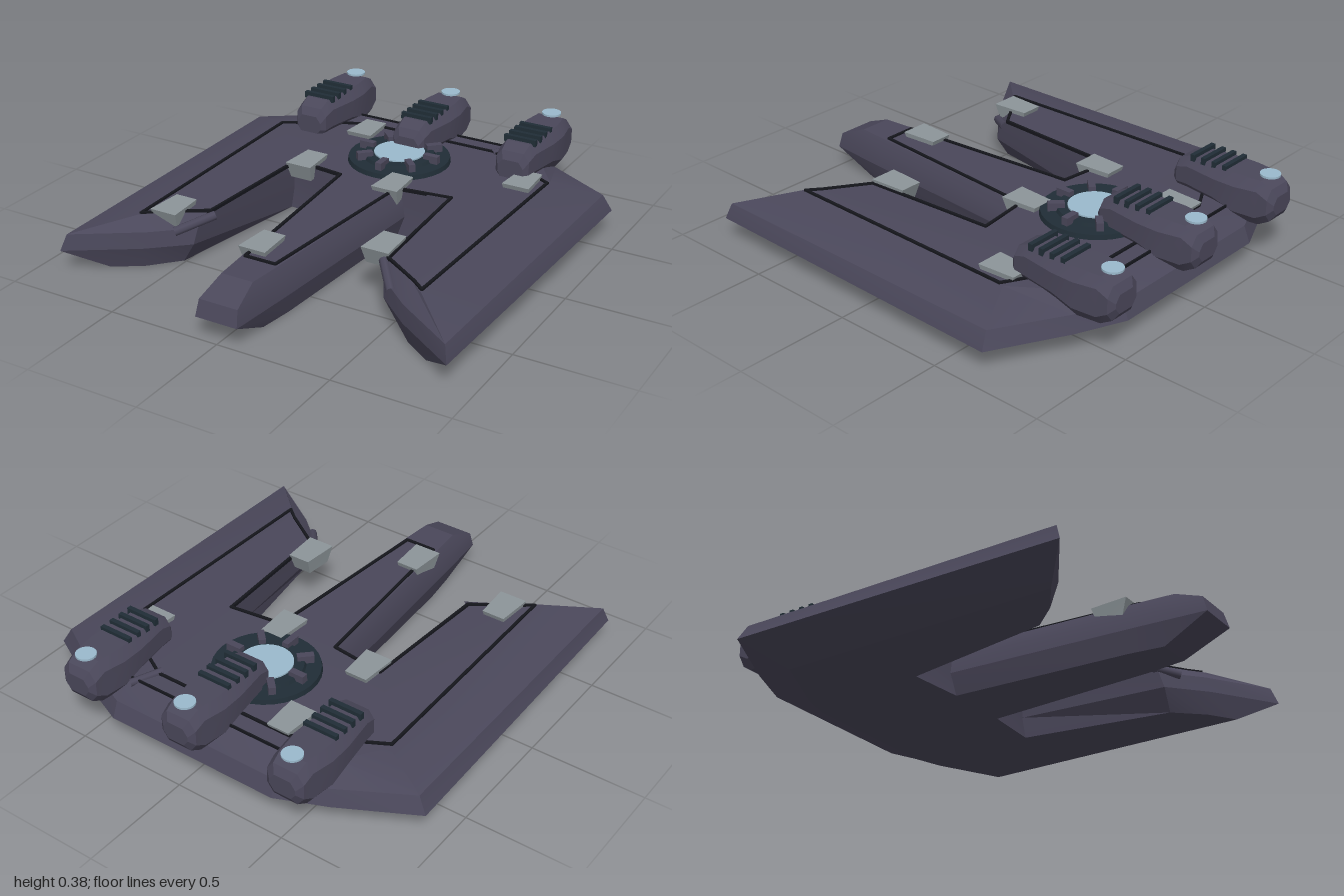
import * as THREE from 'three';
import { toCreasedNormals } from 'three/addons/utils/BufferGeometryUtils.js';

const mat = (name, color) => {
  const m = new THREE.MeshStandardMaterial({ color });
  m.name = name;
  return m;
};

// Skin a stack of matching rings and cap both ends; project gives the 2D cap plane.
function loft(rings, project) {
  const n = rings[0].length, pos = rings.flat(2), idx = [];
  for (let k = 0; k < rings.length - 1; k++) {
    for (let i = 0; i < n; i++) {
      const a = k * n + i, b = k * n + (i + 1) % n, c = b + n, d = a + n;
      idx.push(a, d, c, a, c, b);
    }
  }
  const last = (rings.length - 1) * n;
  const cap = r => THREE.ShapeUtils.triangulateShape(r.map(p => new THREE.Vector2(...project(p))), []);
  cap(rings[0]).forEach(([a, b, c]) => idx.push(a, b, c));
  cap(rings[rings.length - 1]).forEach(([a, b, c]) => idx.push(last + a, last + c, last + b));
  const g = new THREE.BufferGeometry();
  g.setAttribute('position', new THREE.Float32BufferAttribute(pos, 3));
  g.setIndex(idx);
  return toCreasedNormals(g, 0.35);
}

export function createModel() {
  const model = new THREE.Group();
  model.name = 'ship';
  const hullMat = mat('hull purple grey', 0x4a475a);
  const seamMat = mat('seam black', 0x15161c);
  const ringMat = mat('dark teal', 0x202d36);
  const glassMat = mat('pale blue', 0x9ab9cc);
  const padMat = mat('pad grey', 0x8c9599);

  const add = (name, geo, material, x = 0, y = 0, z = 0, parent = model) => {
    const m = new THREE.Mesh(geo, material);
    m.name = name;
    m.position.set(x, y, z);
    parent.add(m);
    return m;
  };

  // Three-pronged hull: half outlines [x, z] at four heights, mirrored
  const levels = [
    [0, [[0.33, -0.73], [0.46, -0.69], [0.74, -0.55], [0.74, 0.70], [0.62, 0.62], [0.51, 0.50],
      [0.40, -0.17], [0.15, -0.15], [0.10, 0.65], [0.08, 0.80]]],
    [0.095, [[0.40, -0.93], [0.61, -0.84], [0.925, -0.67], [0.89, 0.835], [0.61, 0.65], [0.45, 0.51],
      [0.39, -0.18], [0.18, -0.16], [0.12, 0.70], [0.095, 1.0]]],
    [0.165, [[0.40, -0.90], [0.595, -0.82], [0.885, -0.655], [0.87, 0.81], [0.60, 0.63], [0.44, 0.49],
      [0.39, -0.18], [0.17, -0.16], [0.11, 0.70], [0.088, 0.98]]],
    [0.219, [[0.40, -0.80], [0.56, -0.72], [0.68, -0.55], [0.66, 0.60], [0.60, 0.55], [0.43, 0.43],
      [0.39, -0.18], [0.145, -0.16], [0.085, 0.70], [0.072, 0.85]]],
  ];
  const hullRings = levels.map(([y, half]) => [
    ...half.map(([x, z]) => [x, y, z]),
    ...half.slice().reverse().map(([x, z]) => [-x, y, z]),
  ]);
  add('hull', loft(hullRings, p => [p[0], p[2]]), hullMat);

  // Dark seams around the deck panel
  const strip = (a, b, width = 0.012) => {
    const dx = b[0] - a[0], dz = b[1] - a[1];
    const s = add('deckSeam', new THREE.BoxGeometry(width, 0.014, Math.hypot(dx, dz) + width * 0.6),
      seamMat, (a[0] + b[0]) / 2, 0.22, (a[1] + b[1]) / 2);
    s.rotation.y = Math.atan2(dx, dz);
  };
  const seam = [[0.33, -0.72], [0.675, -0.53], [0.655, 0.585], [0.60, 0.54], [0.42, 0.42],
    [0.385, -0.19], [0.14, -0.16], [0.07, 0.69]];
  for (const s of [-1, 1]) {
    for (let i = 0; i < seam.length - 1; i++) {
      strip([s * seam[i][0], seam[i][1]], [s * seam[i + 1][0], seam[i + 1][1]]);
    }
  }
  strip([-0.33, -0.72], [0.33, -0.72]);
  strip([-0.07, 0.69], [0.07, 0.69]);
  strip([-0.40, -0.803], [0.40, -0.803], 0.007);

  // Small pipes at the stern and inside the wing tips
  const pipe = (a, b, r) => {
    const curve = new THREE.LineCurve3(new THREE.Vector3(...a), new THREE.Vector3(...b));
    add('pipe', new THREE.TubeGeometry(curve, 1, r, 8), hullMat);
  };
  pipe([0.33, 0.222, -0.70], [0.39, 0.215, -0.83], 0.016);
  for (const s of [-1, 1]) pipe([s * 0.40, 0.205, 0.42], [s * 0.51, 0.16, 0.56], 0.02);

  // Engine pods: [z, half width, bottom, top, corner]
  const sections = [
    [-1.0, 0.06, 0.22, 0.30, 0.03], [-0.98, 0.085, 0.19, 0.335, 0.04], [-0.93, 0.09, 0.162, 0.36, 0.04],
    [-0.83, 0.106, 0.162, 0.362, 0.045], [-0.73, 0.104, 0.19, 0.362, 0.045],
    [-0.58, 0.085, 0.2, 0.36, 0.04], [-0.525, 0.078, 0.2, 0.335, 0.035], [-0.503, 0.06, 0.21, 0.30, 0.03],
  ];
  const podRings = sections.map(([z, w, y0, y1, c]) => {
    const a = w - c * 0.75;
    return [[-a, y1], [a, y1], [w, y1 - c], [w, y0 + c], [a, y0], [-a, y0], [-w, y0 + c], [-w, y1 - c]]
      .map(([x, y]) => [x, y, z]);
  });
  const podGeo = loft(podRings, p => [p[0], -p[1]]);
  for (const x of [-0.51, 0, 0.51]) {
    const pod = new THREE.Group();
    pod.name = 'enginePod';
    pod.position.x = x;
    model.add(pod);
    add('podBody', podGeo, hullMat, 0, 0, 0, pod);
    add('podLight', new THREE.CylinderGeometry(0.043, 0.043, 0.009, 24), glassMat, 0, 0.372, -0.935, pod);
    for (let i = 0; i < 4; i++) {
      add('podSlat', new THREE.BoxGeometry(0.15, 0.03, 0.02), ringMat, 0, 0.362, -0.76 + i * 0.053, pod);
    }
  }

  // Round hatch with radial lugs
  const hatch = new THREE.Group();
  hatch.name = 'hatch';
  hatch.position.set(0, 0, -0.44);
  model.add(hatch);
  add('hatchRing', new THREE.CylinderGeometry(0.225, 0.23, 0.024, 32), ringMat, 0, 0.228, 0, hatch);
  add('hatchRim', new THREE.CylinderGeometry(0.155, 0.165, 0.02, 32), ringMat, 0, 0.244, 0, hatch);
  add('hatchGlass', new THREE.CylinderGeometry(0.113, 0.113, 0.009, 32), glassMat, 0, 0.256, 0, hatch);
  for (let i = 0; i < 8; i++) {
    const t = i * Math.PI / 4;
    const lug = add('hatchLug', new THREE.BoxGeometry(0.03, 0.035, 0.07), hullMat,
      Math.sin(t) * 0.16, 0.257, Math.cos(t) * 0.16, hatch);
    lug.rotation.y = t;
  }

  // Tapered grey pads, narrower at the rear and underneath
  const padGeo = new THREE.BoxGeometry(0.125, 0.075, 0.17);
  const p = padGeo.attributes.position;
  for (let i = 0; i < p.count; i++) {
    const rear = p.getZ(i) < 0 ? 0.82 : 1, low = p.getY(i) < 0;
    p.setX(i, p.getX(i) * rear * (low ? 0.82 : 1));
    if (low) p.setZ(i, p.getZ(i) * 0.7);
  }
  padGeo.computeVertexNormals();
  for (const [x, z] of [[-0.28, -0.645], [-0.33, -0.2], [0.115, -0.175], [0.585, -0.48],
    [-0.56, 0.48], [-0.06, 0.575], [0.36, 0.34]]) {
    add('pad', padGeo, padMat, x, 0.203, z);
  }
  return model;
}
